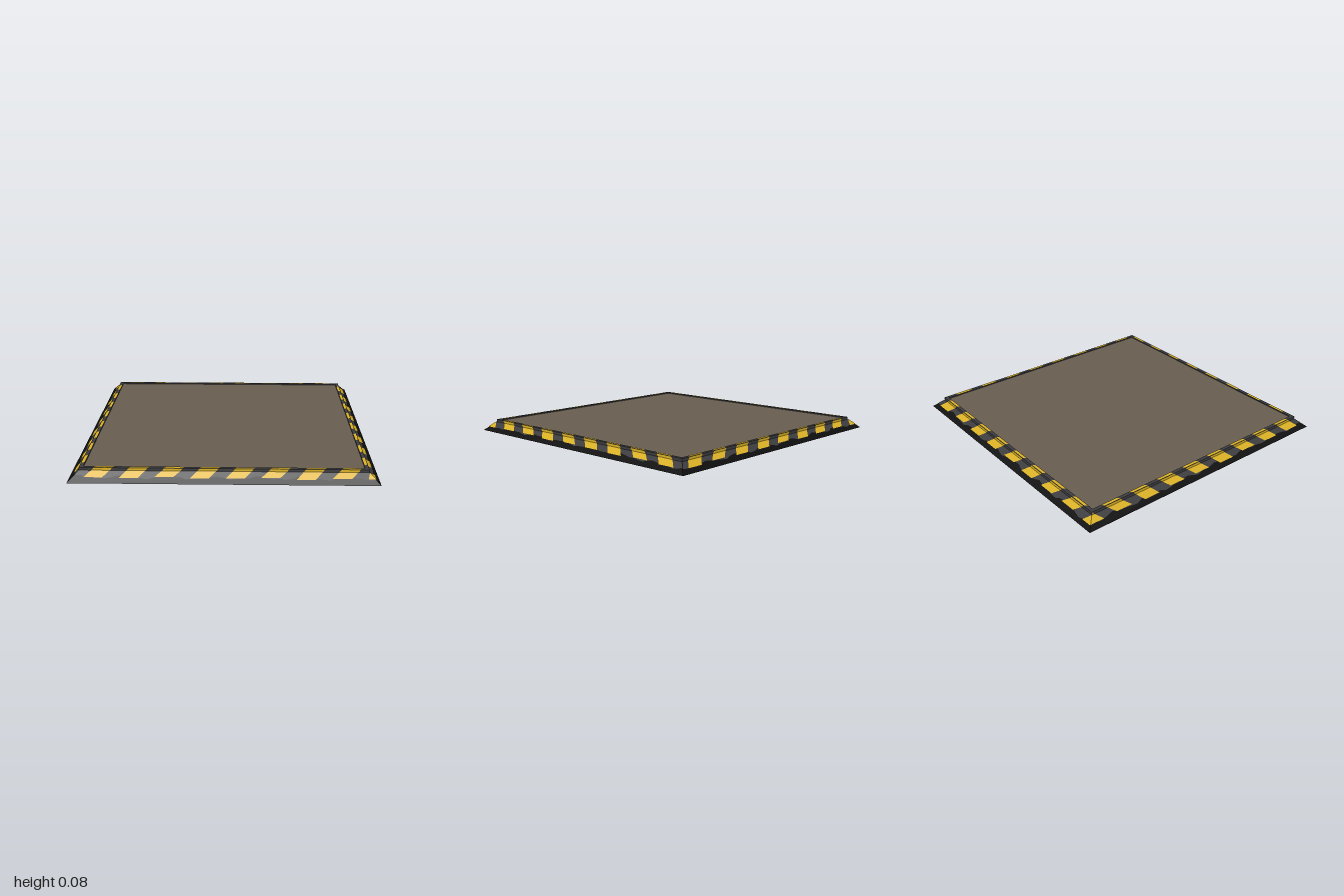
import * as THREE from 'three';

const mat = (name, color, side = THREE.FrontSide) => {
  const m = new THREE.MeshStandardMaterial({ color, side });
  m.name = name;
  return m;
};

export function createModel() {
  const black = mat('black rubber', 0x0e0e0e);
  const grey = mat('dark grey paint', 0x3c3c3f);
  const yellow = mat('hazard yellow', 0xd9b024);
  const brown = mat('brown deck', 0x665c4f);
  const steel = mat('underside grey', 0x7c7c7c);
  const root = new THREE.Group();
  root.name = 'floorPlate';

  const add = (parent, name, geometry, material) => {
    const m = new THREE.Mesh(geometry, material);
    m.name = name;
    parent.add(m);
    return m;
  };

  // Strips between two rows of [u, y, d] points; u runs along a side, d outward
  const strips = (list) => {
    const pos = [];
    for (const [a, b] of list) {
      for (let i = 0; i < a.length - 1; i++) {
        for (const p of [a[i], a[i + 1], b[i + 1], a[i], b[i + 1], b[i]]) pos.push(...p);
      }
    }
    const g = new THREE.BufferGeometry();
    g.setAttribute('position', new THREE.Float32BufferAttribute(pos, 3));
    g.computeVertexNormals();
    return g;
  };
  // Full-width mitred band from profile point [d, y] to the next
  const band = ([d0, y0], [d1, y1]) => [
    [[-d0, y0, d0], [d0, y0, d0]],
    [[-d1, y1, d1], [d1, y1, d1]],
  ];
  // Slanted paint patch, clipped to the mitre
  const patch = (c, w, [d0, y0, s0], [d1, y1, s1]) => {
    const row = (d, y, s) => [-w, w].map((e) => [THREE.MathUtils.clamp(c + s + e, -d, d), y, d]);
    return [row(d0, y0, s0), row(d1, y1, s1)];
  };
  const slopeY = (d) => (1 - d) * 0.06 / 0.07;
  const lift = 0.0015;

  // First stripe centre, spacing and slant for front, right, back and left
  const sides = [
    ['front', -0.81, 0.227, 1],
    ['right', -0.973, 0.2235, -1],
    ['back', -0.84, 0.227, 1],
    ['left', -0.953, 0.223, -1],
  ];
  sides.forEach(([name, start, step, slant], k) => {
    const side = new THREE.Group();
    side.name = name + 'Edge';
    side.rotation.y = k * Math.PI / 2;
    root.add(side);

    // Ramp, then raised rim
    add(side, 'ramp', strips([band([1, 0], [0.93, 0.06])]), black);
    add(side, 'rim', strips([
      band([0.93, 0.06], [0.93, 0.08]),
      band([0.93, 0.08], [0.905, 0.08]),
      band([0.905, 0.08], [0.905, 0.07]),
    ]), grey);

    // Worn paint on the ramp with a wavy lower edge
    const low = [], high = [];
    for (let i = 0; i <= 48; i++) {
      const t = i / 24 - 1;
      const d = 0.965 + 0.007 * Math.sin(t * 21 + k) + 0.004 * Math.sin(t * 47 + 2 * k);
      low.push([t * d, slopeY(d) + lift, d + lift]);
      high.push([t * 0.93, 0.06 + lift, 0.93 + lift]);
    }
    add(side, 'rampPaint', strips([[low, high]]), grey);

    // Slanted stripes carried over the ramp, rim face and rim top
    const stripes = [], under = [];
    for (let i = 0; i < 9; i++) {
      const c = start + i * step;
      const s = (v) => v * slant;
      const d = 0.968 + 0.004 * Math.sin(i * 2.3 + k);
      stripes.push(
        patch(c, 0.06, [d + 2 * lift, slopeY(d) + 2 * lift, s(-0.025)], [0.93 + 2 * lift, 0.06 + 2 * lift, s(0.02)]),
        patch(c, 0.06, [0.9315, 0.061, s(0.02)], [0.9315, 0.08, s(0.035)]),
        patch(c, 0.06, [0.926, 0.081, s(0.035)], [0.908, 0.081, s(0.05)]),
      );
      under.push(patch(c, 0.06, [0.895, 0.001, s(0.03)], [0.935, 0.001, s(-0.02)]));
    }
    add(side, 'hazardStripes', strips(stripes), yellow);

    // Painted border on the underside
    add(side, 'undersideBorder', strips([band([0.89, 0.002], [0.945, 0.002])]), grey);
    add(side, 'undersideStripes', strips(under), yellow);

    // Underside arm
    const arm = add(side, 'undersideArm', new THREE.PlaneGeometry(0.084, 0.65), steel);
    arm.rotation.x = Math.PI / 2;
    arm.position.set(0, 0.0015, 0.575);
  });

  // Deck and underside
  const deck = add(root, 'deck', new THREE.PlaneGeometry(1.81, 1.81), brown);
  deck.rotation.x = -Math.PI / 2;
  deck.position.y = 0.072;
  const base = add(root, 'underside', new THREE.PlaneGeometry(2, 2), black);
  base.rotation.x = Math.PI / 2;
  base.position.y = 0.004;

  // Central square lattice with four clipped-corner openings
  const clipped = (target, x, y, h, c) => {
    target.setFromPoints([
      [-h + c, -h], [h - c, -h], [h, -h + c], [h, h - c],
      [h - c, h], [-h + c, h], [-h, h - c], [-h, -h + c],
    ].map(([a, b]) => new THREE.Vector2(x + a, y + b)));
    return target;
  };
  const shape = clipped(new THREE.Shape(), 0, 0, 0.26, 0.045);
  for (const x of [-0.12, 0.12]) {
    for (const y of [-0.12, 0.12]) shape.holes.push(clipped(new THREE.Path(), x, y, 0.072, 0.025));
  }
  const lattice = add(root, 'undersideLattice', new THREE.ShapeGeometry(shape), steel);
  lattice.rotation.x = Math.PI / 2;
  lattice.position.y = 0.001;

  return root;
}
